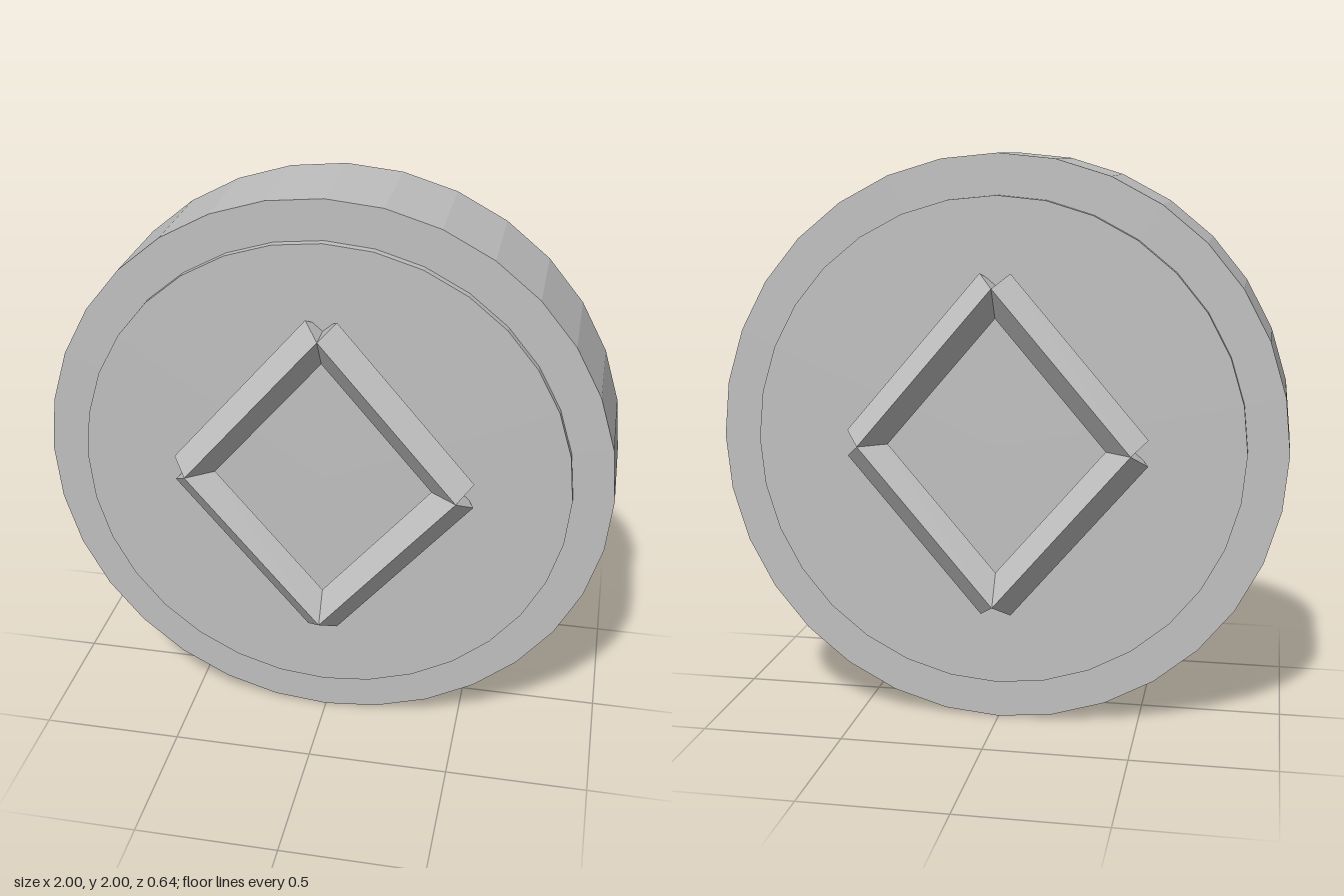
import * as THREE from 'three';

export function createModel() {
  const model = new THREE.Group();
  model.name = 'medallion';
  const grey = new THREE.MeshStandardMaterial({ color: 0xc0c0c0, flatShading: true });
  grey.name = 'plain grey';

  function add(name, geometry, x, y, z) {
    const mesh = new THREE.Mesh(geometry, grey);
    mesh.name = name;
    mesh.position.set(x, y, z);
    model.add(mesh);
    return mesh;
  }

  // Thick outer disc, with a thinner-rimmed core standing proud on both faces
  const disc = (radius, depth) => new THREE.CylinderGeometry(radius, radius, depth, 32).rotateX(Math.PI / 2);
  add('outerDisc', disc(1, 0.392), 0, 1, 0);
  add('raisedFace', disc(0.86, 0.45), 0, 1, 0);

  // Diamond frame on each face: four square bars turned on edge, ridge outwards
  const halfWidth = 0.475, halfHeight = 0.555;
  const bar = new THREE.CylinderGeometry(0.07, 0.07, Math.hypot(halfWidth, halfHeight), 4);
  const tilt = Math.atan2(halfWidth, halfHeight);
  for (const side of [1, -1]) {
    for (const sx of [1, -1]) {
      for (const sy of [1, -1]) {
        const name = (side > 0 ? 'front' : 'back') + (sy > 0 ? 'Upper' : 'Lower') + (sx > 0 ? 'Left' : 'Right') + 'Bar';
        add(name, bar, sx * halfWidth / 2, 1 + sy * halfHeight / 2, side * 0.25).rotation.z = tilt * sx * sy;
      }
    }
  }
  return model;
}
